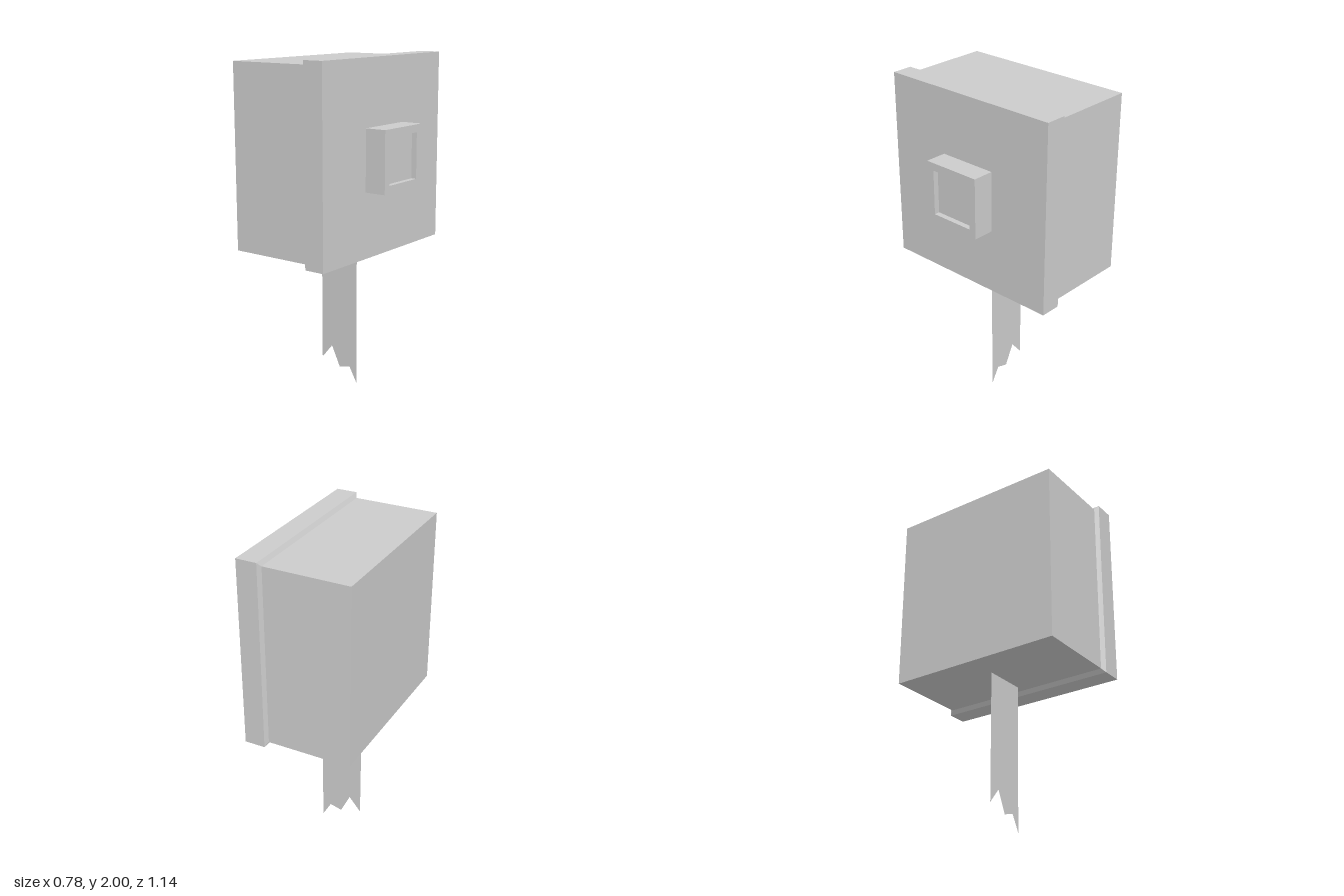
import * as THREE from 'three';

const material = new THREE.MeshStandardMaterial({ color: 0xcccccc, flatShading: true });
const CENTER_Y = 1.4325;

// Square solid along the x axis from [half width, x] steps, ordered towards +x
function squareProfile(name, steps) {
  const points = steps.map(([half, x]) => new THREE.Vector2(half * Math.SQRT2, x));
  const geometry = new THREE.LatheGeometry(points, 4, Math.PI / 4).toNonIndexed();
  geometry.rotateZ(-Math.PI / 2);
  geometry.computeVertexNormals();
  const mesh = new THREE.Mesh(geometry, material);
  mesh.name = name;
  mesh.position.y = CENTER_Y;
  return mesh;
}

export function createModel() {
  const group = new THREE.Group();
  group.name = 'boxOnStrip';

  // Main housing, open where the rim takes over
  group.add(squareProfile('housing', [[0, -0.39], [0.543, -0.39], [0.543, 0.12]]));

  // Wider cover plate with a chamfered back edge
  group.add(squareProfile('coverPlate', [[0.543, 0.12], [0.568, 0.135], [0.568, 0.26], [0, 0.26]]));

  // Square button with a shallow recess
  group.add(squareProfile('button', [
    [0.181, 0.26], [0.181, 0.39], [0.135, 0.39], [0.135, 0.357], [0, 0.357],
  ]));

  // Flat strip hanging below, with a torn lower end
  const outline = [
    [-0.2, 0.89], [-0.2, 0.115], [-0.125, 0.205], [-0.065, 0.078],
    [0.01, 0.098], [0.065, 0], [0.065, 0.89],
  ].map(([x, y]) => new THREE.Vector2(x, y));
  const stripMaterial = material.clone();
  stripMaterial.side = THREE.DoubleSide;
  const strip = new THREE.Mesh(new THREE.ShapeGeometry(new THREE.Shape(outline)), stripMaterial);
  strip.name = 'tornStrip';
  group.add(strip);

  return group;
}
